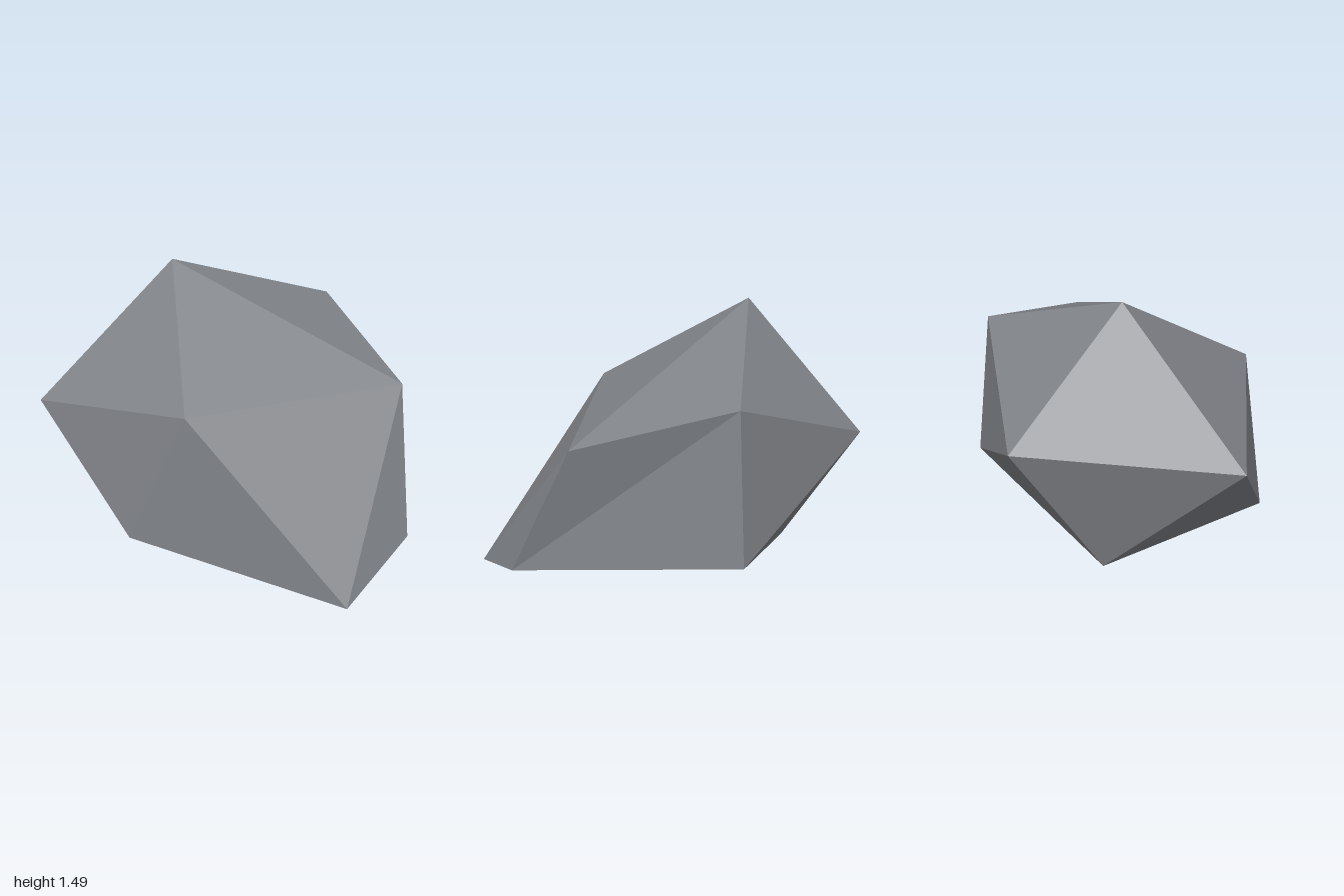
import * as THREE from 'three';

export function createModel() {
  const group = new THREE.Group();
  group.name = 'rock';
  const stone = new THREE.MeshStandardMaterial({ color: 0x808388, flatShading: true });
  stone.name = 'grey stone';

  // Irregular twenty-sided boulder: a peak, two staggered rings of five, and a foot
  const peak = [-0.41, 1.49, -0.10];
  const foot = [0.22, 0, 0.26];
  const upper = [
    [-0.06, 0.97, 0.67], [0.865, 0.97, -0.06], [0.29, 1.18, -0.665],
    [-0.62, 0.83, -0.72], [-1, 0.785, 0.37],
  ];
  const lower = [
    [0.81, 0.085, 0.74], [1, 0.26, 0.255], [0.33, 0.37, -0.74],
    [-0.57, 0.085, -0.24], [-0.38, 0.225, 0.675],
  ];

  // Cap, zigzag belt and base, one fifth at a time
  const corners = [];
  for (let i = 0; i < 5; i++) {
    const j = (i + 1) % 5;
    corners.push(peak, upper[i], upper[j]);
    corners.push(upper[i], lower[i], upper[j]);
    corners.push(lower[i], lower[j], upper[j]);
    corners.push(foot, lower[j], lower[i]);
  }

  const geometry = new THREE.BufferGeometry();
  geometry.setAttribute('position', new THREE.Float32BufferAttribute(corners.flat(), 3));
  geometry.computeVertexNormals();

  const boulder = new THREE.Mesh(geometry, stone);
  boulder.name = 'boulder';
  group.add(boulder);
  return group;
}
